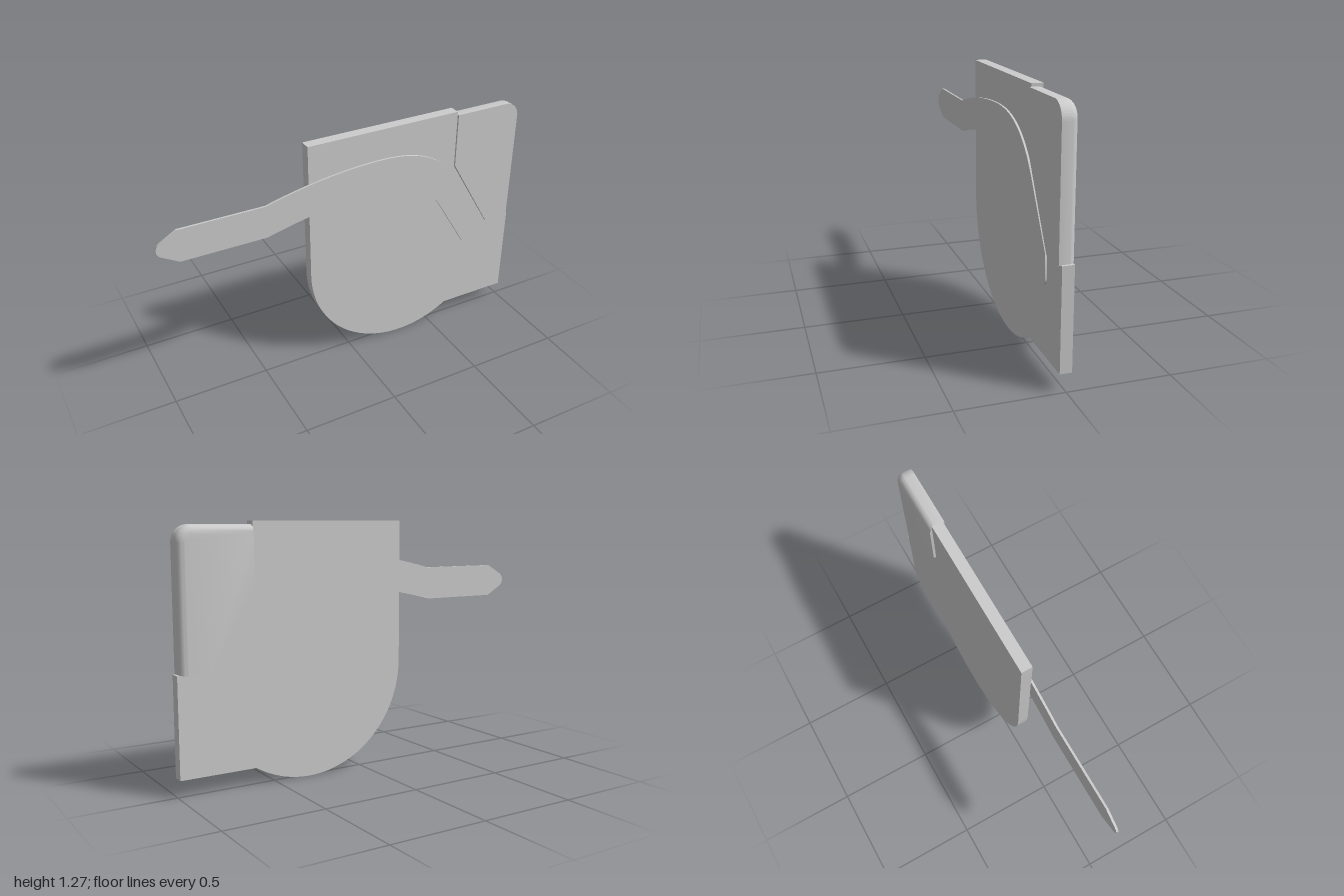
import * as THREE from 'three';
import { toCreasedNormals } from 'three/addons/utils/BufferGeometryUtils.js';

const material = new THREE.MeshStandardMaterial({ color: 0xcccccc });

// Extrude a flat outline between two z planes
function slab(shape, z0, z1, steps = 1) {
  const geo = new THREE.ExtrudeGeometry(shape, {
    depth: z1 - z0, steps, bevelEnabled: false, curveSegments: 32,
  });
  return geo.translate(0, 0, z0);
}

function part(name, geo) {
  geo.deleteAttribute('uv');
  const mesh = new THREE.Mesh(toCreasedNormals(geo, 0.5), material);
  mesh.name = name;
  return mesh;
}

// Body plate: square top, round belly, square foot on the left, notch for the corner cap
function bodyPlate() {
  const cx = 0.313, cy = 0.548, r = 0.545;
  const footAngle = Math.asin((0.09 - cy) / r);
  const s = new THREE.Shape();
  s.moveTo(-0.232, 1.275);
  s.lineTo(cx - r, cy);
  s.absarc(cx, cy, r, Math.PI, Math.PI * 2 + footAngle, false);
  s.lineTo(0.995, 0.09);
  s.lineTo(0.995, 0.58);
  s.lineTo(0.84, 0.58);
  s.lineTo(0.607, 0.97);
  s.lineTo(0.607, 1.275);
  s.closePath();
  return part('bodyPlate', slab(s, -0.027, 0.03));
}

// Corner cap: thicker than the plate, rounded towards the back on its two outer edges
function cornerCap() {
  const right = 0.982, top = 1.26, r = 0.08, fillet = 0.04, layers = 8;
  const cx = right - r, cy = top - r;
  const s = new THREE.Shape();
  s.moveTo(0.607, top);
  s.lineTo(0.607, 0.975);
  s.lineTo(0.842, 0.577);
  s.lineTo(right, 0.577);
  s.lineTo(right, cy);
  s.absarc(cx, cy, r, 0, Math.PI / 2, false);
  s.closePath();
  const geo = slab(s, 0, layers, layers);
  const p = geo.attributes.position;
  for (let i = 0; i < p.count; i++) {
    const k = Math.round(p.getZ(i));
    const a = (Math.min(k, layers - 1) / (layers - 1)) * Math.PI / 2;
    const shrink = (r - fillet * (1 - Math.sin(a))) / r;
    const x = p.getX(i), y = p.getY(i);
    if (x > cx) p.setX(i, cx + (x - cx) * shrink);
    if (y > cy) p.setY(i, cy + (y - cy) * shrink);
    p.setZ(i, k === layers ? 0.04 : -0.04 + fillet * (1 - Math.cos(a)));
  }
  return part('cornerCap', geo);
}

// Thin curved strap lying on the front, with a free tail on the right
function strap() {
  const s = new THREE.Shape();
  s.moveTo(-0.895, 1.025);
  s.lineTo(-0.98, 0.975);
  s.bezierCurveTo(-1.007, 0.957, -1.007, 0.923, -0.98, 0.905);
  s.lineTo(-0.895, 0.855);
  s.lineTo(-0.46, 0.855);
  s.quadraticCurveTo(-0.15, 0.938, 0.12, 0.942);
  s.lineTo(0.25, 0.94);
  s.bezierCurveTo(0.37, 0.935, 0.47, 0.86, 0.54, 0.74);
  s.lineTo(0.69, 0.492);
  s.lineTo(0.775, 0.432);
  s.bezierCurveTo(0.80, 0.415, 0.832, 0.43, 0.832, 0.47);
  s.lineTo(0.825, 0.58);
  s.lineTo(0.65, 0.865);
  s.bezierCurveTo(0.53, 1.055, 0.38, 1.12, 0.14, 1.115);
  s.quadraticCurveTo(-0.15, 1.11, -0.46, 1.025);
  s.closePath();
  return part('strap', slab(s, 0.029, 0.04));
}

export function createModel() {
  const model = new THREE.Group();
  model.name = 'plateWithStrap';
  model.add(bodyPlate(), cornerCap(), strap());
  return model;
}
